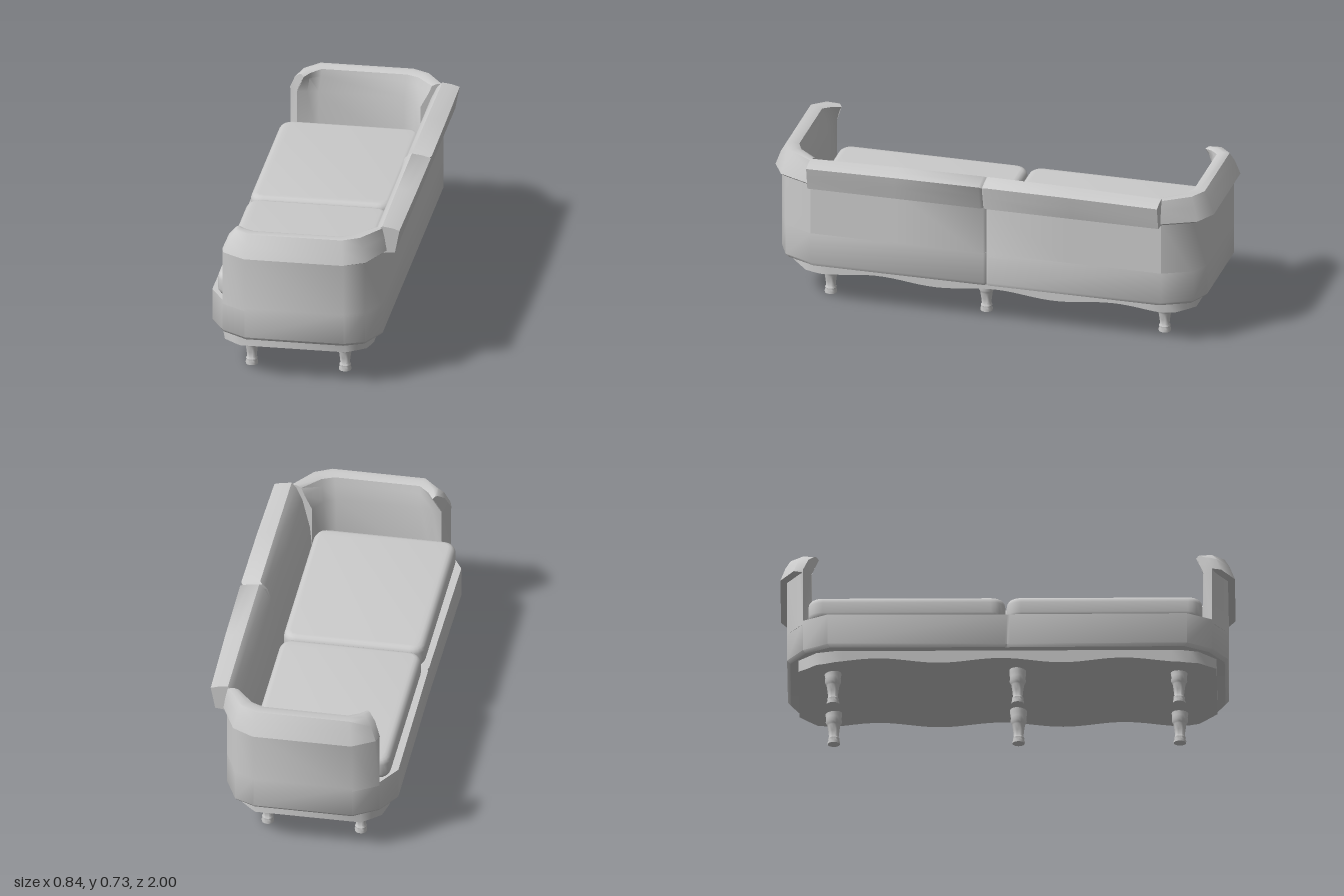
import * as THREE from 'three';
import { toCreasedNormals } from 'three/addons/utils/BufferGeometryUtils.js';

const material = new THREE.MeshStandardMaterial({ color: 0xcccccc, side: THREE.DoubleSide });

// Skin a list of closed cross-sections and cap both ends.
function loft(rows, crease = 0.8) {
  const n = rows[0].length, last = rows.length - 1;
  const pos = rows.flat(2), index = [];
  for (let i = 0; i < last; i++) {
    for (let j = 0; j < n; j++) {
      const k = (j + 1) % n;
      const a = i * n + j, b = a + n, d = i * n + k, c = d + n;
      index.push(a, c, b, a, d, c);
    }
  }
  for (const r of [0, last]) {
    const center = [0, 1, 2].map(q => rows[r].reduce((s, p) => s + p[q], 0) / n);
    const m = pos.length / 3;
    pos.push(...center);
    for (let j = 0; j < n; j++) {
      const a = r * n + j, b = r * n + (j + 1) % n;
      if (r === 0) index.push(m, b, a); else index.push(m, a, b);
    }
  }
  const g = new THREE.BufferGeometry();
  g.setAttribute('position', new THREE.Float32BufferAttribute(pos, 3));
  g.setIndex(index);
  return toCreasedNormals(g, crease);
}

const mirrorZ = rows => rows.map(r => r.map(([x, y, z]) => [x, y, -z])).reverse();

// Cushion: rounded rectangle with a soft bevel
function cushionGeometry(x0, x1, z0, z1, y0, y1) {
  const b = 0.03, r = 0.035;
  const l = x0 + b, t = x1 - b, u = -z1 + b, v = -z0 - b;
  const s = new THREE.Shape();
  s.moveTo(l + r, u);
  s.lineTo(t - r, u).quadraticCurveTo(t, u, t, u + r);
  s.lineTo(t, v - r).quadraticCurveTo(t, v, t - r, v);
  s.lineTo(l + r, v).quadraticCurveTo(l, v, l, v - r);
  s.lineTo(l, u + r).quadraticCurveTo(l, u, l + r, u);
  const g = new THREE.ExtrudeGeometry(s, {
    depth: y1 - y0 - 2 * b, bevelThickness: b, bevelSize: b, bevelSegments: 4, curveSegments: 5
  });
  g.rotateX(-Math.PI / 2).translate(0, y0 + b, 0);
  return toCreasedNormals(g, 0.8);
}

export function createModel() {
  const model = new THREE.Group();
  const add = (name, geometry) => {
    const mesh = new THREE.Mesh(geometry, material);
    mesh.name = name;
    model.add(mesh);
    return mesh;
  };

  // Base frame with chamfered corners and a small seam at the middle
  const half = [[-0.42, 0.012], [-0.425, 0.79], [-0.36, 0.9], [-0.25, 0.97],
    [0.19, 0.97], [0.28, 0.93], [0.34, 0.8], [0.34, 0.012]];
  const outline = [[-0.415, 0], ...half, [0.33, 0],
    ...half.map(([x, z]) => [x, -z]).reverse()];
  add('baseFrame', loft([[0.2, 0.985], [0.215, 1], [0.357, 1]].map(([y, s]) =>
    outline.map(([x, z]) => [-0.04 + (x + 0.04) * s, y, z * s]))));

  // Underside lining with a wavy lower edge
  const lining = [];
  for (let i = 0; i <= 46; i++) {
    const z = 0.92 - i * 0.04, a = Math.abs(z);
    const inset = a > 0.84 ? 0.02 + (a - 0.84) : Math.max(0, a - 0.76) * 0.25;
    const y = 0.153 - 0.011 * Math.cos((z - 0.24) * 2 * Math.PI / 0.54);
    const x0 = -0.38 + inset, x1 = 0.292 - inset;
    lining.push([[x0, y, z], [x0, 0.205, z], [x1, 0.205, z], [x1, y, z]]);
  }
  add('undersideLining', loft(lining));

  // Arms: each station holds [x, z] of wall, lip, outer top, inner top, inner face
  const stations = [
    [[-0.36, 0.9], [-0.362, 0.9], [-0.31, 0.85], [-0.29, 0.83], [-0.325, 0.86]],
    [[-0.34, 0.915], [-0.35, 0.94], [-0.3, 0.9], [-0.265, 0.865], [-0.28, 0.87]],
    [[-0.25, 0.97], [-0.25, 1], [-0.235, 0.955], [-0.22, 0.9], [-0.23, 0.875]],
    [[0.19, 0.97], [0.19, 1], [0.18, 0.955], [0.16, 0.9], [0.15, 0.875]],
    [[0.28, 0.93], [0.285, 0.95], [0.255, 0.915], [0.215, 0.875], [0.2, 0.85]],
    [[0.34, 0.8], [0.355, 0.8], [0.335, 0.8], [0.29, 0.79], [0.24, 0.78]],
  ];
  const armRows = stations.map(([wall, lip, outer, inner, face], i) => {
    const at = ([x, z], y) => [x, y, z];
    const mix = (p, q, t) => [p[0] + (q[0] - p[0]) * t, p[1] + (q[1] - p[1]) * t];
    const top = 0.69 + Math.min(i, 2) * 0.006 + i * 0.001;
    return [at(face, 0.34), at(face, 0.6), at(mix(face, inner, 0.7), 0.665),
      at(inner, top - 0.006), at(mix(inner, outer, 0.5), top + 0.003), at(outer, top),
      at(mix(outer, lip, 0.5), 0.665), at(lip, 0.603), at(wall, 0.592), at(wall, 0.34)];
  });
  add('leftEndArm', loft(armRows));
  add('rightEndArm', loft(mirrorZ(armRows)));

  // Backrest: leaning inside, rolled top overhanging behind, seam in the middle
  const section = [[0.235, 0.34], [0.25, 0.5], [0.285, 0.64], [0.312, 0.705], [0.335, 0.727],
    [0.38, 0.721], [0.42, 0.711], [0.41, 0.66], [0.392, 0.597], [0.362, 0.602],
    [0.34, 0.592], [0.34, 0.34]];
  add('backrest', loft([0.8, 0.4, 0.012, 0, -0.012, -0.4, -0.8].map(z =>
    section.map(([x, y]) => {
      const crown = y > 0.65 ? 0.01 * (z / 0.8) ** 2 : 0;
      const roll = x > 0.4 ? 0.008 * (z / 0.8) ** 2 : 0;
      const seam = z === 0 && x > 0.3 ? 0.012 : 0;
      return [x - roll - seam, y - crown - seam * (y > 0.7 ? 0.7 : 0), z];
    }))));

  // Seat cushions
  add('seatCushionA', cushionGeometry(-0.397, 0.236, -0.003, 0.858, 0.35, 0.457));
  add('seatCushionB', cushionGeometry(-0.397, 0.236, -0.876, -0.009, 0.35, 0.457));

  // Turned legs
  const profile = [[0, 0], [0.027, 0], [0.028, 0.008], [0.024, 0.018], [0.026, 0.026],
    [0.021, 0.034], [0.024, 0.06], [0.028, 0.088], [0.03, 0.094], [0.036, 0.105],
    [0.034, 0.125], [0.037, 0.142], [0.037, 0.17]].map(([r, y]) => new THREE.Vector2(r, y));
  const legGeometry = toCreasedNormals(new THREE.LatheGeometry(profile, 16), 0.8);
  for (const x of [-0.254, 0.162]) {
    for (const z of [0.755, 0.045, -0.768]) add('leg', legGeometry).position.set(x, 0, z);
  }
  return model;
}
